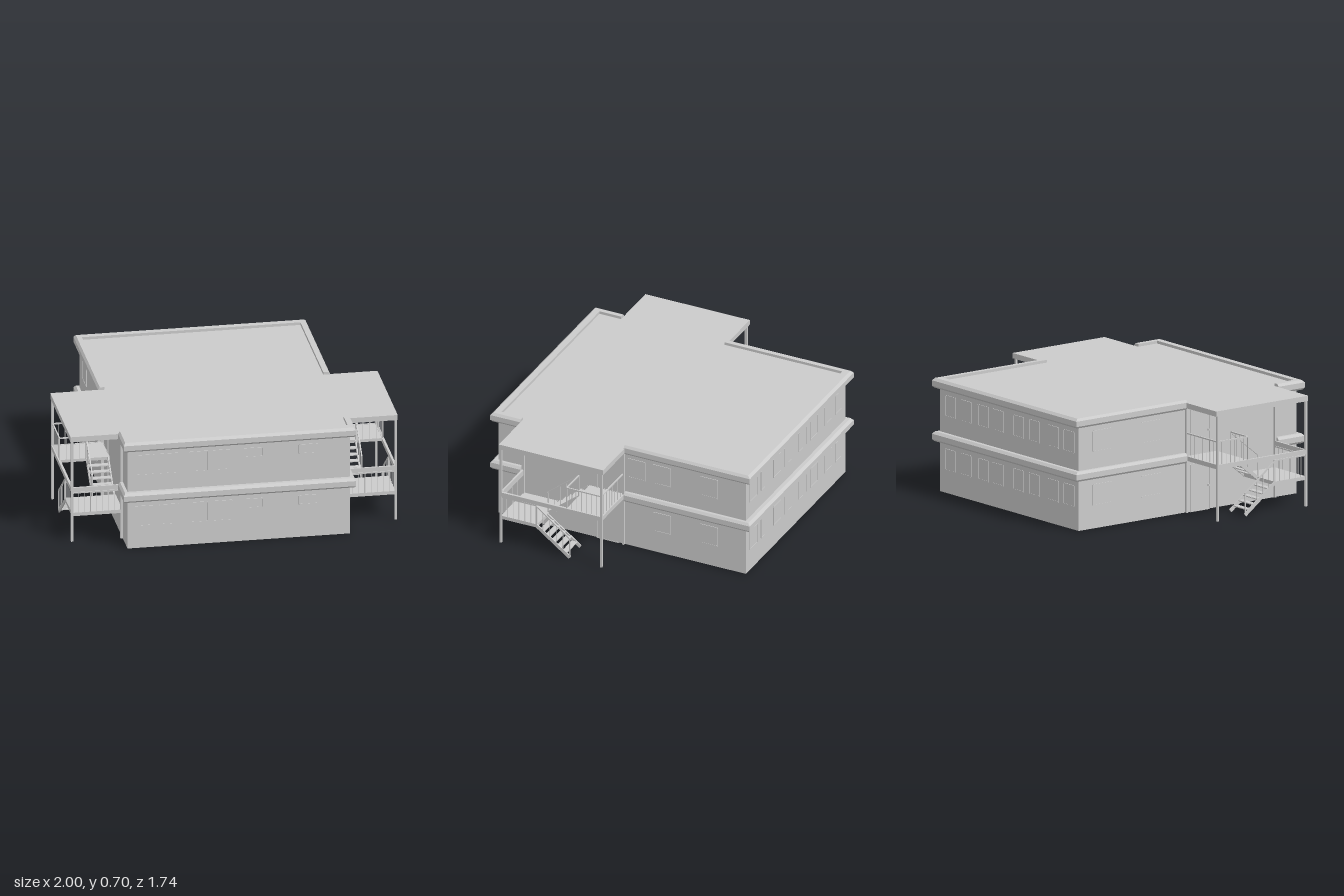
import * as THREE from 'three';

const mat = new THREE.MeshStandardMaterial({ color: 0xcccccc, flatShading: true });

export function createModel() {
  const model = new THREE.Group();

  function add(parent, name, geo) {
    const m = new THREE.Mesh(geo, mat);
    m.name = name;
    parent.add(m);
    return m;
  }
  // Box given by its min and max corners (x may be mirrored)
  function box(parent, name, x0, x1, y0, y1, z0, z1) {
    const m = add(parent, name, new THREE.BoxGeometry(Math.abs(x1 - x0), y1 - y0, z1 - z0));
    m.position.set((x0 + x1) / 2, (y0 + y1) / 2, (z0 + z1) / 2);
    return m;
  }
  // Bar of width w and height h between two points
  function bar(parent, name, a, b, w, h = w) {
    const p = new THREE.Vector3(...a), q = new THREE.Vector3(...b);
    const m = add(parent, name, new THREE.BoxGeometry(w, h, p.distanceTo(q)));
    m.position.copy(p).add(q).multiplyScalar(0.5);
    m.lookAt(q);
    return m;
  }
  function group(name, parent = model) {
    const g = new THREE.Group();
    g.name = name;
    parent.add(g);
    return g;
  }

  // Main block and roof
  box(model, 'walls', -0.68, 0.68, 0, 0.65, -0.83, 0.83);
  box(model, 'roof', -0.68, 0.68, 0.65, 0.683, -0.83, 0.83);

  // Chamfered band swept around one end of the building with mitred corners
  function band(name, y0, zEnd, s) {
    const profile = [[-0.4, 0], [0.7, 0], [1, 0.012], [1, 0.045], [0.6, 0.06], [-0.4, 0.06]];
    const path = [[s, zEnd, 0], [s, s * 0.83, 1], [-s, s * 0.83, 1], [-s, zEnd, 0]];
    const pos = [], idx = [], n = profile.length;
    for (const [sx, z, mitre] of path)
      for (const [o, y] of profile) pos.push(sx * (0.68 + o * 0.03), y0 + y, z + mitre * s * o * 0.04);
    for (let i = 0; i < path.length - 1; i++)
      for (let j = 0; j < n; j++) {
        const a = i * n + j, b = i * n + (j + 1) % n, c = a + n, d = b + n;
        idx.push(a, b, c, b, d, c);
      }
    const e = (path.length - 1) * n;
    for (let j = 1; j < n - 1; j++) idx.push(0, j + 1, j, e, e + j, e + j + 1);
    // Reverse the winding if the solid came out inside out
    let vol = 0;
    const v = k => new THREE.Vector3().fromArray(pos, k * 3);
    for (let k = 0; k < idx.length; k += 3) vol += v(idx[k]).dot(v(idx[k + 1]).cross(v(idx[k + 2])));
    if (vol < 0) idx.reverse();
    const g = new THREE.BufferGeometry();
    g.setAttribute('position', new THREE.Float32BufferAttribute(pos, 3));
    g.setIndex(idx);
    const flat = g.toNonIndexed();
    flat.computeVertexNormals();
    add(model, name, flat);
  }
  for (const [name, y] of [['floorBand', 0.31], ['parapetBand', 0.64]]) {
    band(name + 'Front', y, 0.67, 1);
    band(name + 'Back', y, -0.025, -1);
  }

  // Framed panel on a wall: u is across, turned to face outwards
  function panel(parent, name, w, h, x, y, z, angle) {
    const g = group(name, parent), t = 0.006;
    box(g, 'pane', -w / 2, w / 2, -h / 2, h / 2, -0.002, 0.002);
    for (const s of [-1, 1]) {
      box(g, 'frameSide', s * w / 2 - t / 2, s * w / 2 + t / 2, -h / 2, h / 2, -0.002, 0.004);
      box(g, 'frameRail', -w / 2, w / 2, s * h / 2 - t / 2, s * h / 2 + t / 2, -0.002, 0.004);
    }
    g.position.set(x, y, z);
    g.rotation.y = angle;
    return g;
  }

  // Windows on both storeys
  const windows = group('windows');
  for (const [storey, y] of [[0, 0.207], [1, 0.538]]) {
    for (const x of [-0.575, -0.428, -0.243, -0.098])
      panel(windows, 'frontWindow', 0.112, 0.126, x, y, 0.83, 0);
    for (const x of [0.09, 0.425])
      panel(windows, 'smallFrontWindow', 0.112, 0.056, x, y + 0.034, 0.83, 0);
    for (const x of [0.58, 0.425, 0.255, 0.11, -0.09, -0.245, -0.435, -0.585])
      panel(windows, 'backWindow', 0.1, 0.126, x, y, -0.83, Math.PI);
    for (const z of storey ? [-0.1, -0.268, -0.583] : [-0.268, -0.583])
      panel(windows, 'rightWindow', 0.113, 0.126, 0.68, y, z, Math.PI / 2);
    for (const z of [-0.65, -0.28])
      panel(windows, 'leftWindow', 0.14, 0.126, -0.68, y, z, -Math.PI / 2);
  }

  // Railing: handrail, bottom rail and balusters between two floor points
  function railing(parent, a, b, height, count) {
    const g = group('railing', parent);
    const up = (p, h) => [p[0], p[1] + h, p[2]];
    bar(g, 'handrail', up(a, height), up(b, height), 0.008);
    for (let i = 0; i <= count; i++) {
      const p = a.map((c, k) => c + (b[k] - c) * i / count);
      const w = i % count ? 0.003 : 0.007;
      box(g, 'baluster', p[0] - w / 2, p[0] + w / 2, p[1], p[1] + height, p[2] - w / 2, p[2] + w / 2);
    }
  }

  // Open flight: two stringers and thin treads from a low to a high point
  function flight(parent, s, x0, x1, yLow, zLow, yHigh, zHigh, steps) {
    const g = group('stairFlight', parent);
    for (const x of [x0, x1])
      bar(g, 'stringer', [s * x, yLow, zLow], [s * x, yHigh, zHigh], 0.008, 0.022);
    for (let i = 1; i <= steps; i++) {
      const t = i / (steps + 1), y = yLow + (yHigh - yLow) * t, z = zLow + (zHigh - zLow) * t;
      box(g, 'tread', s * x0, s * x1, y - 0.003, y + 0.003, z - 0.018, z + 0.018);
    }
  }

  // Side porch with canopy, posts, platforms, stairs and doors
  for (const s of [1, -1]) {
    const p = group(s > 0 ? 'leftPorch' : 'rightPorch');
    const X = x => s * x;
    box(p, 'canopy', X(0.68), X(1), 0.65, 0.683, -0.03, 0.67);

    for (const z of [-0.012, 0.66]) {
      box(p, 'outerPost', X(0.982), X(0.996), 0, 0.65, z - 0.007, z + 0.007);
      box(p, 'wallPost', X(0.68), X(0.694), 0, 0.65, z - 0.007, z + 0.007);
      box(p, 'crossBeam', X(0.68), X(0.99), 0.322, 0.35, z - 0.006, z + 0.006);
    }
    box(p, 'sideBeam', X(0.982), X(0.996), 0.322, 0.35, -0.012, 0.66);

    // Upper platform and half-height landing
    box(p, 'upperPlatform', X(0.68), X(0.99), 0.33, 0.348, -0.015, 0.22);
    box(p, 'landing', X(0.68), X(0.99), 0.163, 0.185, 0.42, 0.66);

    flight(p, s, 0.69, 0.822, 0.175, 0.425, 0.34, 0.22, 5);
    flight(p, s, 0.842, 0.986, 0.01, 0.2, 0.175, 0.425, 5);

    railing(p, [X(0.988), 0.348, -0.01], [X(0.988), 0.348, 0.22], 0.142, 7);
    railing(p, [X(0.69), 0.348, -0.01], [X(0.988), 0.348, -0.01], 0.142, 8);
    railing(p, [X(0.824), 0.348, 0.22], [X(0.988), 0.348, 0.22], 0.142, 4);
    railing(p, [X(0.988), 0.185, 0.42], [X(0.988), 0.185, 0.66], 0.13, 6);
    railing(p, [X(0.69), 0.185, 0.66], [X(0.988), 0.185, 0.66], 0.13, 8);
    railing(p, [X(0.824), 0.18, 0.425], [X(0.824), 0.345, 0.22], 0.142, 5);
    railing(p, [X(0.988), 0.01, 0.2], [X(0.988), 0.18, 0.425], 0.132, 5);

    for (const [y, h] of [[0, 0.29], [0.348, 0.28]]) {
      panel(p, 'door', 0.145, h, X(0.68), y + h / 2, 0.093, s * Math.PI / 2);
      box(p, 'doorHandle', X(0.68), X(0.69), y + h / 2 - 0.003, y + h / 2 + 0.009, 0.15, 0.158);
    }
  }
  return model;
}
